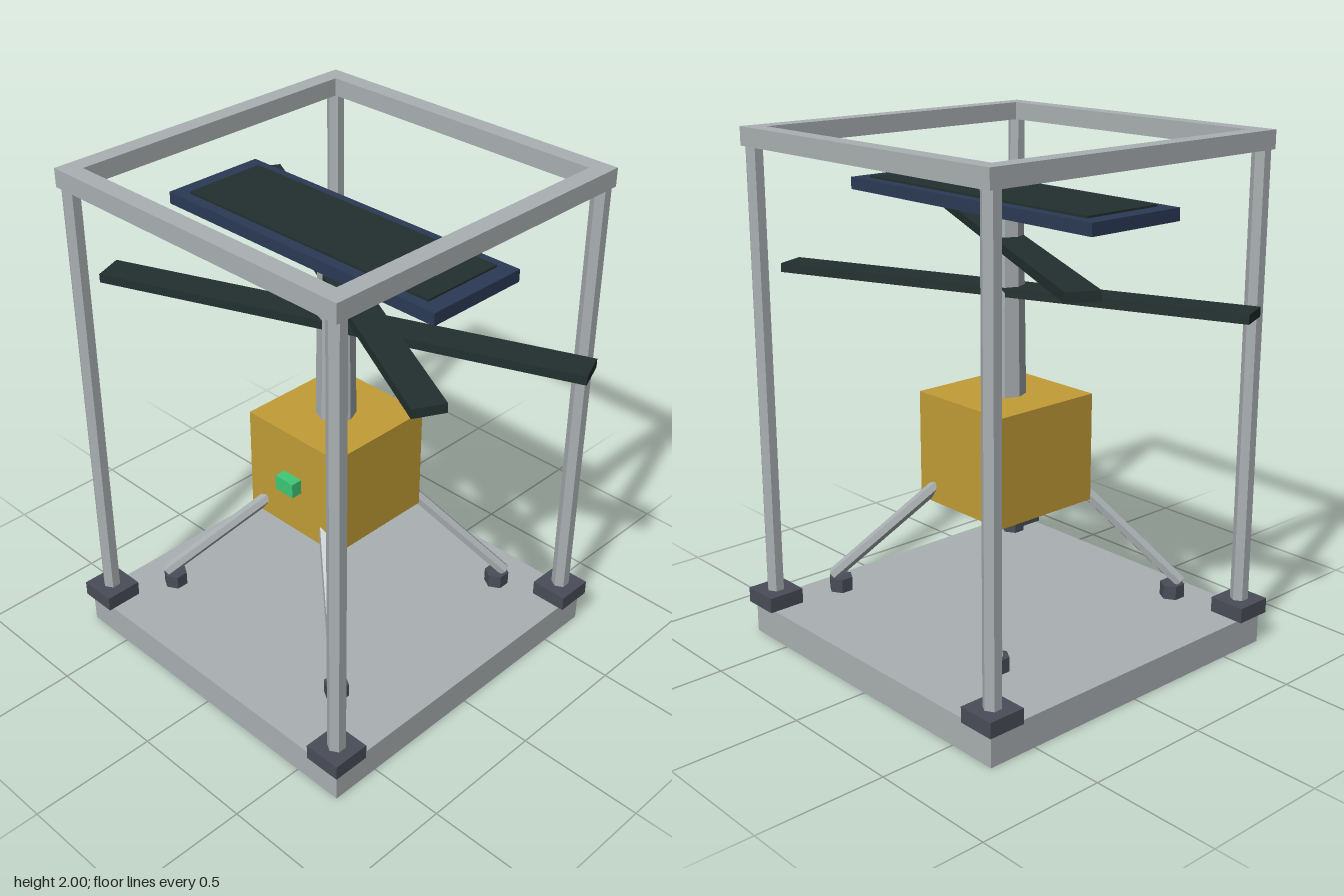
import * as THREE from 'three';

const mat = (name, color) => {
  const m = new THREE.MeshStandardMaterial({ color });
  m.name = name;
  m.flatShading = true;
  return m;
};

export function createModel() {
  const metal = mat('light grey metal', 0xaab0b2);
  const dark = mat('dark grey', 0x4a4d58);
  const yellow = mat('ochre yellow', 0xc29c36);
  const green = mat('signal green', 0x3fc878);
  const navy = mat('navy frame', 0x2b3a55);
  const blade = mat('blackish green', 0x22302f);

  const model = new THREE.Group();
  model.name = 'model';

  const add = (name, geometry, material, x, y, z) => {
    const mesh = new THREE.Mesh(geometry, material);
    mesh.name = name;
    mesh.position.set(x, y, z);
    model.add(mesh);
    return mesh;
  };
  const box = (name, w, h, d, material, x, y, z) =>
    add(name, new THREE.BoxGeometry(w, h, d), material, x, y, z);

  // Rod between two points
  const rod = (name, a, b, r, sides, material) => {
    const dir = b.clone().sub(a);
    const mid = a.clone().add(b).multiplyScalar(0.5);
    const mesh = add(name, new THREE.CylinderGeometry(r, r, dir.length(), sides), material, mid.x, mid.y, mid.z);
    mesh.quaternion.setFromUnitVectors(new THREE.Vector3(0, 1, 0), dir.normalize());
  };

  // Ground slab
  box('base', 1.4, 0.125, 1.4, metal, 0, 0.0625, 0);

  // Outer cage: top bars, posts and post shoes
  const P = 0.645;
  for (const s of [-1, 1]) {
    box('topBarAcross', 1.36, 0.07, 0.07, metal, 0, 1.965, s * P);
    box('topBarSide', 0.07, 0.07, 1.22, metal, s * P, 1.965, 0);
  }
  for (const sx of [-1, 1]) {
    for (const sz of [-1, 1]) {
      add('post', new THREE.CylinderGeometry(0.035, 0.035, 1.79, 6), metal, sx * P, 1.035, sz * P);
      box('postShoe', 0.15, 0.06, 0.15, dark, sx * P, 0.155, sz * P);

      // Splayed leg and foot pad
      rod('leg', new THREE.Vector3(sx * 0.48, 0.25, sz * 0.48),
        new THREE.Vector3(sx * 0.15, 0.655, sz * 0.21), 0.025, 6, metal);
      add('footPad', new THREE.CylinderGeometry(0.048, 0.048, 0.055, 6), dark, sx * 0.46, 0.217, sz * 0.46);
    }
  }

  // Central body with front lamp
  box('body', 0.46, 0.425, 0.46, yellow, 0, 0.7975, 0);
  box('lamp', 0.09, 0.06, 0.06, green, 0, 0.802, 0.246);

  // Tapered mast
  add('mast', new THREE.CylinderGeometry(0.066, 0.077, 0.72, 8), metal, 0, 1.36, 0);

  // Crossed rotors
  box('lowerRotor', 1.9, 0.035, 0.13, blade, 0, 1.412, 0).rotation.y = 0.38;
  box('upperRotor', 1.9, 0.035, 0.12, blade, 0, 1.597, 0).rotation.y = -0.483;

  // Flat panel above the mast
  box('panelFrame', 1.3, 0.047, 0.426, navy, 0, 1.7485, 0);
  box('panelFace', 1.17, 0.009, 0.34, blade, 0, 1.7755, 0);

  return model;
}
